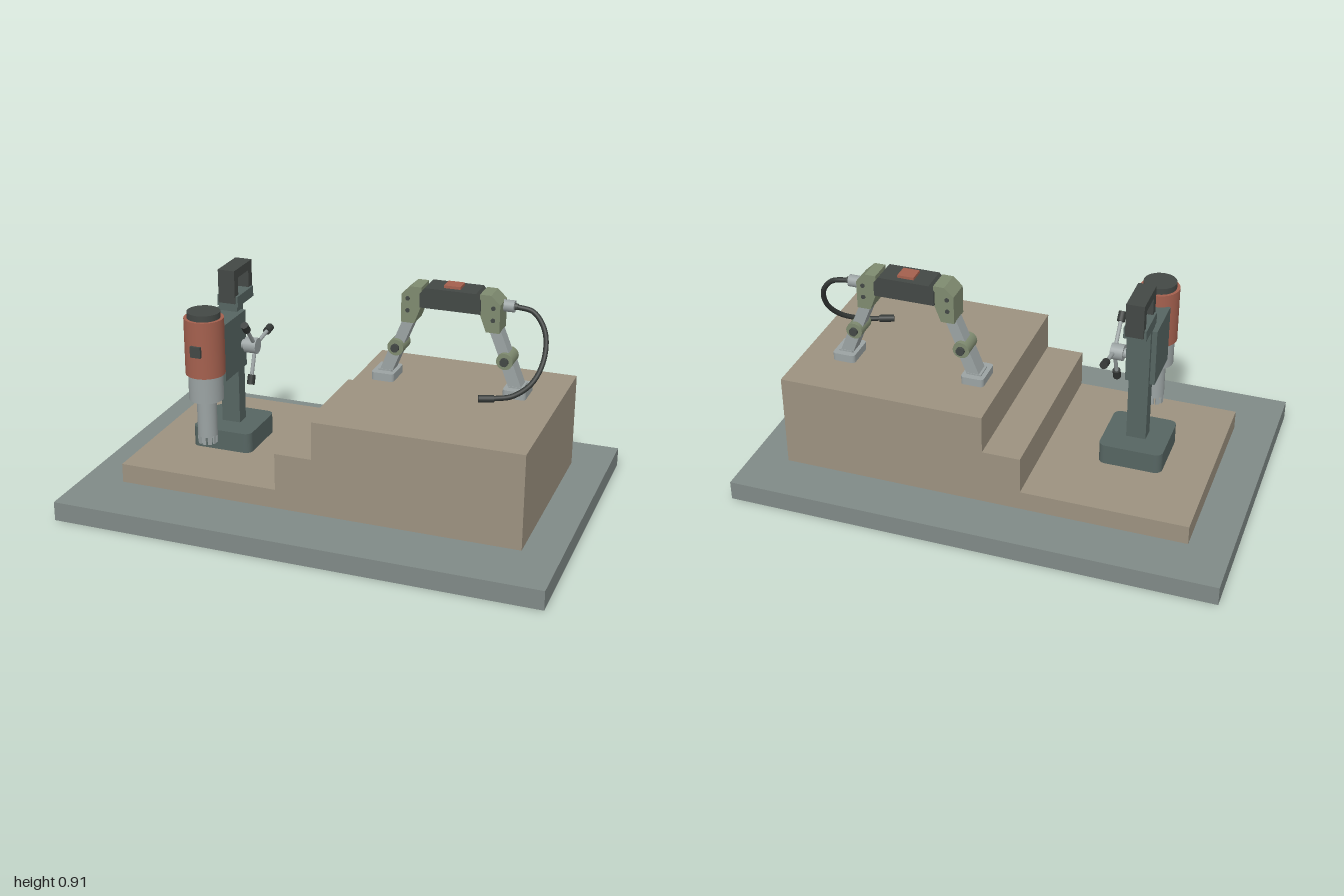
import * as THREE from 'three';

const mat = (color) => new THREE.MeshStandardMaterial({ color, side: THREE.DoubleSide });
const M = {
  slab: mat(0x808a87), stone: mat(0x9c9280), teal: mat(0x566562), red: mat(0xa4604e),
  dark: mat(0x434845), olive: mat(0x7f8b70), steel: mat(0x9ba3a3), black: mat(0x343836),
};

function add(group, name, geometry, material, x = 0, y = 0, z = 0) {
  const mesh = new THREE.Mesh(geometry, material);
  mesh.name = name;
  mesh.position.set(x, y, z);
  group.add(mesh);
  return mesh;
}

// Box given by its limits on each axis
function box(group, name, material, [x0, x1], [y0, y1], [z0, z1]) {
  return add(group, name, new THREE.BoxGeometry(x1 - x0, y1 - y0, z1 - z0), material,
    (x0 + x1) / 2, (y0 + y1) / 2, (z0 + z1) / 2);
}

// Cylinder between two points
function rod(group, name, material, a, b, r, r2 = r, sides = 24) {
  const p = new THREE.Vector3(...a), q = new THREE.Vector3(...b);
  const d = q.clone().sub(p);
  const mesh = add(group, name, new THREE.CylinderGeometry(r2, r, d.length(), sides), material);
  mesh.position.copy(p).add(q).multiplyScalar(0.5);
  mesh.quaternion.setFromUnitVectors(new THREE.Vector3(0, 1, 0), d.normalize());
  return mesh;
}

// Outline in x and y, extruded from z0 to z1
function slice(group, name, material, points, z0, z1) {
  const shape = new THREE.Shape(points.map(([x, y]) => new THREE.Vector2(x, y)));
  const geo = new THREE.ExtrudeGeometry(shape, { depth: z1 - z0, bevelEnabled: false });
  return add(group, name, geo, material, 0, 0, z0);
}

// Plate with rounded corners in plan
function plate(group, name, material, w, d, h, r, x, y, z) {
  const s = new THREE.Shape(), a = w / 2, b = d / 2;
  s.moveTo(-a + r, -b).lineTo(a - r, -b).absarc(a - r, -b + r, r, -Math.PI / 2, 0);
  s.lineTo(a, b - r).absarc(a - r, b - r, r, 0, Math.PI / 2);
  s.lineTo(-a + r, b).absarc(-a + r, b - r, r, Math.PI / 2, Math.PI);
  s.lineTo(-a, -b + r).absarc(-a + r, -b + r, r, Math.PI, Math.PI * 1.5);
  const geo = new THREE.ExtrudeGeometry(s, { depth: h, bevelEnabled: false, curveSegments: 5 });
  geo.rotateX(-Math.PI / 2);
  return add(group, name, geo, material, x, y, z);
}

function createPlinth() {
  const g = new THREE.Group();
  g.name = 'plinth';
  box(g, 'groundSlab', M.slab, [-1, 1], [0, 0.08], [-0.65, 0.65]);
  slice(g, 'steppedBlock', M.stone, [[-0.83, 0.08], [0.845, 0.08], [0.845, 0.473], [0, 0.473],
    [0, 0.315], [-0.155, 0.315], [-0.155, 0.16], [-0.83, 0.16]], -0.437, 0.387);
  return g;
}

function createDrill() {
  const g = new THREE.Group();
  g.name = 'standDrill';
  const cx = -0.512, mz = 0.235;

  // Stand
  plate(g, 'standBase', M.teal, 0.26, 0.26, 0.085, 0.03, cx, 0.16, -0.015);
  box(g, 'column', M.teal, [cx - 0.04, cx + 0.04], [0.245, 0.8], [-0.05, 0.01]);
  box(g, 'headBlock', M.teal, [cx - 0.06, cx + 0.06], [0.495, 0.735], [-0.03, 0.175]);
  box(g, 'topBracket', M.teal, [cx - 0.045, cx + 0.045], [0.755, 0.8], [-0.145, 0.01]);

  // Carrying handle
  const hx = [cx - 0.036, cx + 0.036];
  box(g, 'handleGrip', M.dark, hx, [0.873, 0.91], [-0.155, 0.018]);
  box(g, 'handleFrontPost', M.dark, hx, [0.77, 0.873], [-0.017, 0.018]);
  box(g, 'handleBackPost', M.dark, hx, [0.77, 0.873], [-0.155, -0.12]);

  // Motor, gearbox and hollow cutter
  const stack = (name, m, r, y0, y1) => rod(g, name, m, [cx, y0, mz], [cx, y1, mz], r, r, 40);
  stack('motorCap', M.dark, 0.067, 0.785, 0.81);
  stack('motorHousing', M.red, 0.08, 0.55, 0.785);
  stack('gearbox', M.steel, 0.07, 0.44, 0.55);
  stack('cutter', M.steel, 0.04, 0.28, 0.44);
  box(g, 'powerSwitch', M.dark, [cx - 0.022, cx + 0.022], [0.643, 0.688], [0.3, 0.325]);
  for (let i = 0; i < 10; i++) {
    const a = (i / 10) * Math.PI * 2;
    const tooth = add(g, 'cutterTooth', new THREE.BoxGeometry(0.016, 0.033, 0.007), M.steel,
      cx + Math.sin(a) * 0.036, 0.265, mz + Math.cos(a) * 0.036);
    tooth.rotation.y = a;
  }

  // Feed hub with three spokes
  const hy = 0.597, hz = 0.003;
  rod(g, 'feedShaft', M.steel, [-0.46, hy, hz], [-0.43, hy, hz], 0.02);
  rod(g, 'feedHub', M.steel, [-0.437, hy, hz], [-0.385, hy, hz], 0.033);
  for (let i = 0; i < 3; i++) {
    const a = THREE.MathUtils.degToRad(130 + i * 120);
    const at = (r) => [-0.397, hy + Math.sin(a) * r, hz - Math.cos(a) * r];
    rod(g, 'feedSpoke', M.steel, at(0.02), at(0.13), 0.008, 0.008, 12);
    rod(g, 'feedKnob', M.black, at(0.12), at(0.16), 0.016, 0.016, 16);
  }
  return g;
}

// One leg on the +x side; x is measured from the middle of the walker
function createLeg(side) {
  const g = new THREE.Group();
  g.name = side > 0 ? 'leftLeg' : 'rightLeg';
  const z = -0.173;
  const X = (x) => side * x;
  plate(g, 'foot', M.steel, 0.095, 0.13, 0.033, 0.015, X(0.275), 0.473, -0.17);
  box(g, 'ankle', M.steel, [X(0.275) - 0.03, X(0.275) + 0.03], [0.49, 0.512], [z - 0.035, z + 0.035]);

  // Shin and thigh, slightly bent at the knee
  const link = (name, a, b, w, d) => {
    const dx = X(b[0]) - X(a[0]), dy = b[1] - a[1];
    const m = add(g, name, new THREE.BoxGeometry(w, Math.hypot(dx, dy), d), M.steel,
      (X(a[0]) + X(b[0])) / 2, (a[1] + b[1]) / 2, z);
    m.rotation.z = -Math.atan2(dx, dy);
  };
  link('shin', [0.275, 0.495], [0.227, 0.617], 0.05, 0.066);
  link('thigh', [0.227, 0.617], [0.165, 0.77], 0.045, 0.056);
  rod(g, 'kneeJoint', M.olive, [X(0.227), 0.617, z - 0.047], [X(0.227), 0.617, z + 0.047], 0.034);
  rod(g, 'kneePin', M.dark, [X(0.227), 0.617, z - 0.06], [X(0.227), 0.617, z + 0.06], 0.017);

  // Shoulder housing with screws on both faces
  slice(g, 'shoulder', M.olive, [[0.203, 0.733], [0.203, 0.85], [0.165, 0.886], [0.12, 0.886],
    [0.12, 0.808], [0.148, 0.733]].map(([x, y]) => [X(x), y]), -0.222, -0.122);
  for (const y of [0.785, 0.835]) {
    rod(g, 'screw', M.dark, [X(0.176), y, -0.226], [X(0.176), y, -0.118], 0.009, 0.009, 12);
  }
  return g;
}

function createWalker() {
  const g = new THREE.Group();
  g.name = 'walker';
  g.position.x = 0.39;
  g.add(createLeg(1), createLeg(-1));

  // Bridge body
  slice(g, 'body', M.dark, [[-0.125, 0.805], [0.125, 0.805], [0.125, 0.862], [0.105, 0.888],
    [-0.105, 0.888], [-0.125, 0.862]], -0.232, -0.115);
  box(g, 'statusPanel', M.red, [-0.034, 0.034], [0.885, 0.899], [-0.207, -0.143]);

  // Cable and its plugs
  rod(g, 'socket', M.steel, [0.195, 0.83, -0.19], [0.245, 0.83, -0.19], 0.024);
  rod(g, 'socketCollar', M.dark, [0.24, 0.83, -0.19], [0.258, 0.83, -0.19], 0.015, 0.012);
  const path = new THREE.CatmullRomCurve3([[0.25, 0.83, -0.19], [0.32, 0.815, -0.192],
    [0.373, 0.75, -0.17], [0.387, 0.655, -0.12], [0.36, 0.575, -0.05], [0.3, 0.535, 0.01],
    [0.23, 0.528, 0.045]].map((p) => new THREE.Vector3(...p)));
  add(g, 'cable', new THREE.TubeGeometry(path, 48, 0.0105, 10), M.black);
  rod(g, 'cablePlug', M.black, [0.235, 0.528, 0.043], [0.178, 0.528, 0.064], 0.015, 0.015, 16);
  return g;
}

export function createModel() {
  const model = new THREE.Group();
  model.name = 'workSite';
  model.add(createPlinth(), createDrill(), createWalker());
  return model;
}
